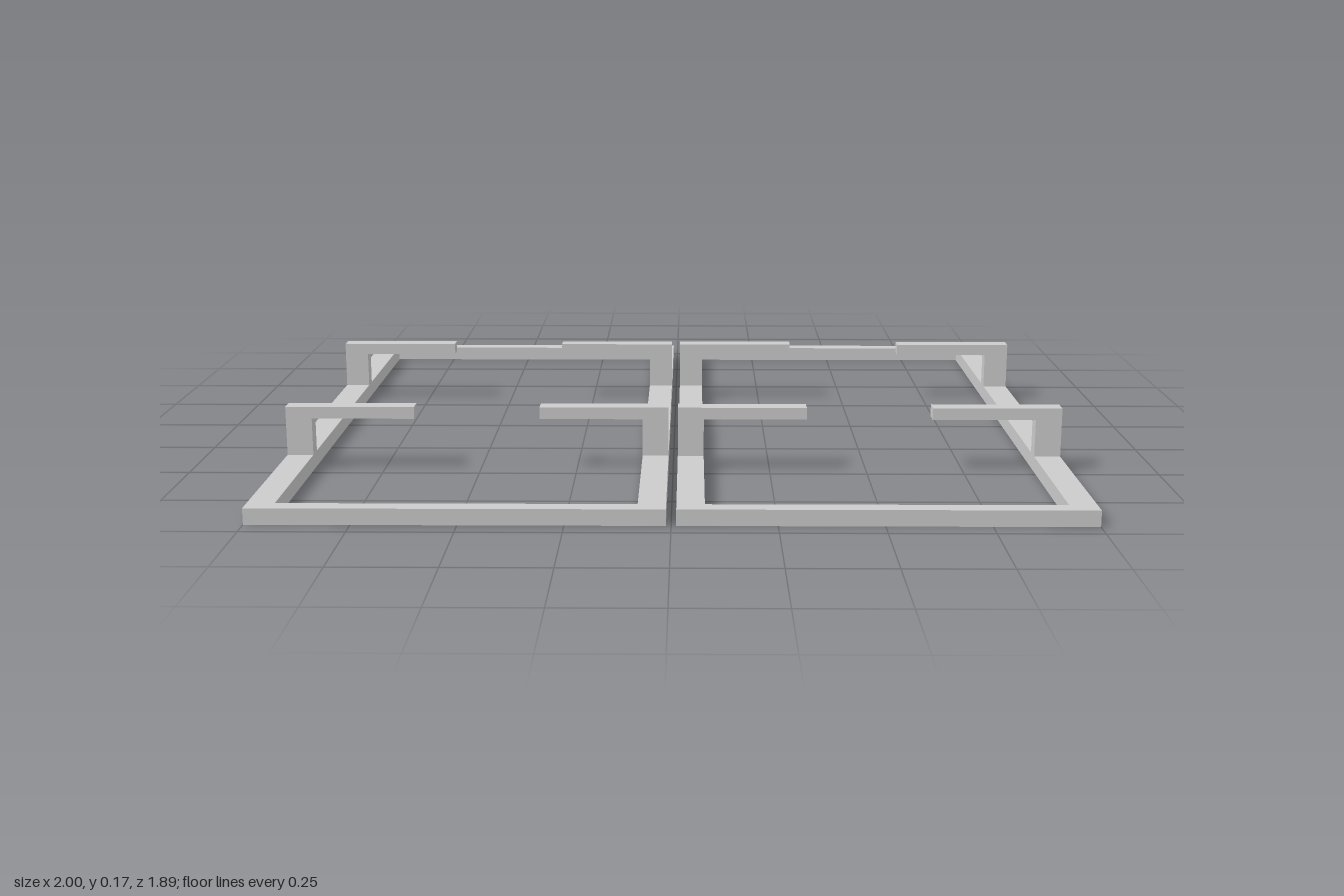
import * as THREE from 'three';

const GAP = 0.012;      // half the slit between the two frames
const HALF_Z = 0.947;   // half length of a frame
const RAIL = 0.067;     // width of the long rails
const END = 0.043;      // width of the end rails
const FRAME_H = 0.04;
const TOP = 0.168;

const material = new THREE.MeshStandardMaterial({ color: 0xcccccc, flatShading: true });

function rectangle(PathType, x0, y0, x1, y1) {
  const p = new PathType();
  p.moveTo(x0, y0);
  p.lineTo(x1, y0);
  p.lineTo(x1, y1);
  p.lineTo(x0, y1);
  p.closePath();
  return p;
}

// Flat rectangular frame lying on the ground
function frameGeometry(width) {
  const w = width / 2;
  const shape = rectangle(THREE.Shape, -w, -HALF_Z, w, HALF_Z);
  shape.holes.push(rectangle(THREE.Path, -w + RAIL, -HALF_Z + END, w - RAIL, HALF_Z - END));
  return new THREE.ExtrudeGeometry(shape, { depth: FRAME_H, bevelEnabled: false }).rotateX(-Math.PI / 2);
}

// Post with an arm reaching inwards along +x
function bracketGeometry() {
  const reach = 0.332, armH = 0.031, depth = 0.044;
  const shape = new THREE.Shape([
    [0, FRAME_H], [RAIL, FRAME_H], [RAIL, TOP - armH],
    [reach, TOP - armH], [reach, TOP], [0, TOP],
  ].map(([x, y]) => new THREE.Vector2(x, y)));
  return new THREE.ExtrudeGeometry(shape, { depth, bevelEnabled: false }).translate(0, 0, -depth / 2);
}

export function createModel() {
  const model = new THREE.Group();
  const width = 1 - GAP;
  const frameGeo = frameGeometry(width);
  const bracketGeo = bracketGeometry();

  for (const side of [-1, 1]) {
    const half = new THREE.Group();
    half.name = side < 0 ? 'rightPanel' : 'leftPanel';
    half.position.x = side * (GAP + width / 2);

    const frame = new THREE.Mesh(frameGeo, material);
    frame.name = 'frame';
    half.add(frame);

    // Two brackets on each long rail, facing each other
    for (const z of [-0.362, 0.449]) {
      for (const edge of [-1, 1]) {
        const bracket = new THREE.Mesh(bracketGeo, material);
        bracket.name = 'bracket';
        bracket.position.set(edge * width / 2, 0, z);
        if (edge > 0) bracket.rotation.y = Math.PI;
        half.add(bracket);
      }
    }
    model.add(half);
  }
  return model;
}
